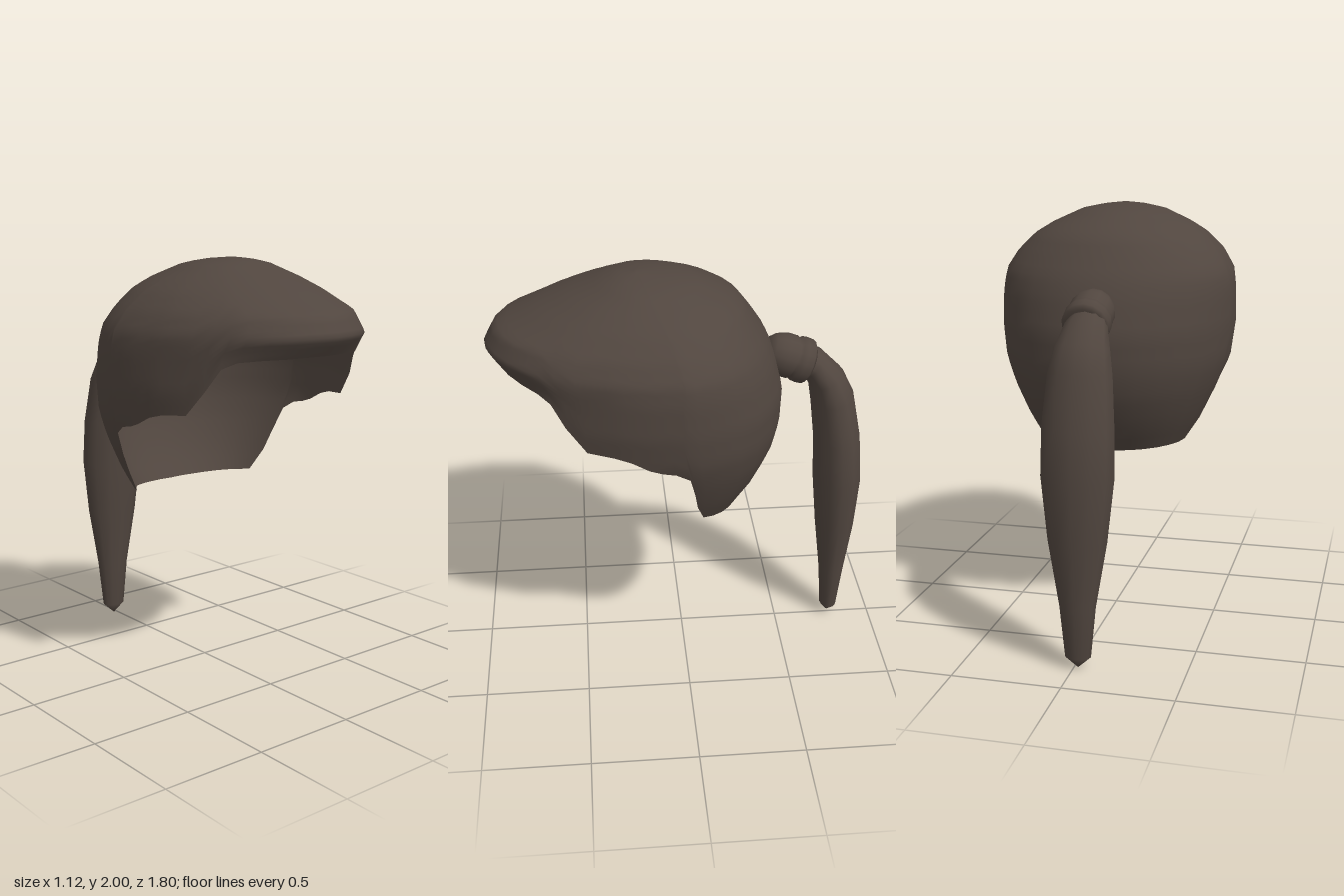
import * as THREE from 'three';
import { mergeVertices } from 'three/addons/utils/BufferGeometryUtils.js';

const hair = new THREE.MeshStandardMaterial({ color: 0x51463f, side: THREE.DoubleSide });
hair.name = 'dark brown hair';

// Smooth skin over closed loops of points, listed from top to bottom
function loft(name, loops) {
  const n = loops[0].length;
  const index = [];
  for (let i = 0; i < loops.length - 1; i++) {
    for (let j = 0; j < n; j++) {
      const a = i * n + j, b = i * n + (j + 1) % n;
      index.push(a, a + n, b, b, a + n, b + n);
    }
  }
  let geometry = new THREE.BufferGeometry().setFromPoints(loops.flat());
  geometry.setIndex(index);
  geometry = mergeVertices(geometry, 1e-4);
  geometry.computeVertexNormals();
  const mesh = new THREE.Mesh(geometry, hair);
  mesh.name = name;
  return mesh;
}

// Cap cross-sections: height, front z, back z, half width, z of widest point
const SECTIONS = [
  [2.0, 0.2, 0.2, 0, 0.2], [1.99, 0.29, 0.07, 0.1, 0.19], [1.97, 0.36, -0.05, 0.2, 0.17],
  [1.91, 0.53, -0.19, 0.33, 0.13], [1.86, 0.66, -0.27, 0.41, 0.1], [1.78, 0.85, -0.33, 0.49, 0.07],
  [1.69, 0.9, -0.39, 0.545, 0.05], [1.6, 0.83, -0.43, 0.558, 0.05], [1.44, 0.83, -0.47, 0.56, 0.05],
  [1.28, 0.83, -0.465, 0.54, 0.03], [1.15, 0.82, -0.435, 0.49, 0], [1.0, 0.8, -0.36, 0.42, -0.02],
  [0.86, 0.8, -0.265, 0.335, -0.04],
];

function sectionAt(y) {
  let i = 0;
  while (i < SECTIONS.length - 2 && y < SECTIONS[i + 1][0]) i++;
  const a = SECTIONS[i], b = SECTIONS[i + 1];
  const t = (a[0] - y) / (a[0] - b[0]);
  return a.map((v, k) => v + (b[k] - v) * t);
}

// Lower edge of the cap: angle from the front in degrees, height
const RIM = [
  [0, 1.61], [10, 1.61], [20, 1.605], [30, 1.6], [39, 1.59], [45, 1.56], [51, 1.46], [58.5, 1.35],
  [68, 1.34], [73.5, 1.32], [79, 1.28], [83, 1.26], [87, 1.25], [91.5, 1.21], [92.5, 1.1],
  [93.5, 1.0], [99, 0.9], [110, 0.893], [122, 0.888], [134, 0.883], [146, 0.878], [158, 0.874],
  [169, 0.872], [180, 0.87],
];

function createCap() {
  const mirrored = RIM.slice(1, -1).reverse().map(([a, y]) => [360 - a, y]);
  const columns = [...RIM, ...mirrored];
  const rows = 30, loops = [];
  for (let i = 0; i <= rows; i++) {
    const t = i / rows;
    loops.push(columns.map(([deg, rim]) => {
      const y = 2 - (2 - rim) * Math.pow(t, 1.7);
      const [, front, back, width, mid] = sectionAt(y);
      const a = THREE.MathUtils.degToRad(deg), c = Math.cos(a);
      const depth = c > 0 ? front - mid : mid - back;
      return new THREE.Vector3(width * Math.sin(a), y, mid + depth * c);
    }));
  }
  return loft('hairCap', loops);
}

// Ponytail cross-sections: front z, front y, back z, back y, half width
const TAIL = [
  [-0.54, 1.44, -0.6, 1.6, 0.085], [-0.585, 1.44, -0.67, 1.56, 0.1], [-0.61, 1.39, -0.77, 1.46, 0.125],
  [-0.625, 1.3, -0.83, 1.34, 0.145], [-0.65, 1.1, -0.88, 1.1, 0.162], [-0.66, 0.88, -0.9, 0.88, 0.165],
  [-0.688, 0.6, -0.885, 0.6, 0.135], [-0.726, 0.3, -0.853, 0.3, 0.084], [-0.745, 0.06, -0.83, 0.06, 0.06],
  [-0.785, 0.005, -0.785, 0.005, 0],
];

function createTail() {
  const sides = 12;
  return loft('ponytail', TAIL.map(([fz, fy, bz, by, w]) =>
    Array.from({ length: sides }, (_, j) => {
      const a = j / sides * Math.PI * 2, c = Math.cos(a) / 2;
      return new THREE.Vector3(-0.018 + w * Math.sin(a),
        (fy + by) / 2 + (fy - by) * c, (fz + bz) / 2 + (fz - bz) * c);
    })));
}

// Two-banded tie, tilted backwards and down
function createTie() {
  const profile = [[0, -0.07], [0.06, -0.06], [0.085, -0.03], [0.097, 0], [0.104, 0.03], [0.104, 0.075],
    [0.093, 0.085], [0.106, 0.095], [0.11, 0.12], [0.107, 0.155], [0.085, 0.17], [0, 0.172]];
  const geometry = new THREE.LatheGeometry(profile.map(([r, s]) => new THREE.Vector2(r, s)), 14);
  const tie = new THREE.Mesh(geometry, hair);
  tie.name = 'hairTie';
  tie.position.set(-0.008, 1.565, -0.45);
  tie.rotation.x = -1.92;
  return tie;
}

export function createModel() {
  const group = new THREE.Group();
  group.name = 'ponytailHair';
  group.add(createCap(), createTail(), createTie());
  return group;
}
